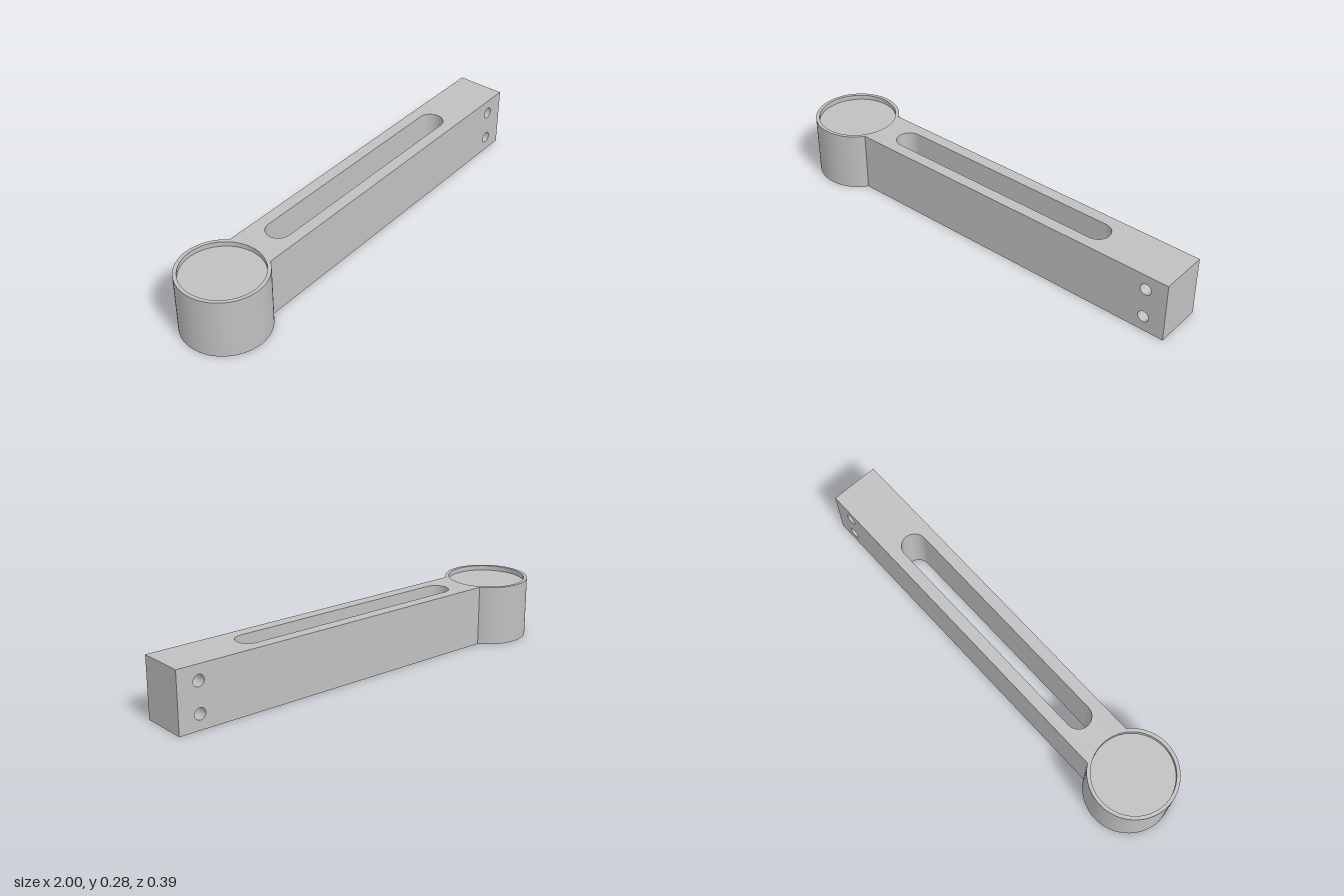
import * as THREE from 'three';

const H = 0.278;                      // overall height
const HW = 0.111;                     // half width of the arm
const R = 0.194, CX = -1 + R;         // round head
const RECESS_R = 0.178, RECESS_D = 0.022;
const BORE_R = 0.022, BORE_D = 0.14;
const SLOT_R = 0.0575, SLOT_A = -0.473, SLOT_B = 0.583; // slot end centres
const PIN_R = 0.026, PIN_X = 0.9, PIN_Y = [0.07, 0.209];
const ANGLE = Math.asin(HW / R);      // where the arm meets the head
const JOIN_X = CX + R * Math.cos(ANGLE);

export function createModel() {
  const model = new THREE.Group();
  const grey = new THREE.MeshStandardMaterial({ color: 0xc0c0c0 });
  grey.name = 'light grey';

  const add = (name, geometry, x = 0, y = 0, z = 0) => {
    const mesh = new THREE.Mesh(geometry, grey);
    mesh.name = name;
    mesh.position.set(x, y, z);
    model.add(mesh);
    return mesh;
  };

  // Surface turned from one straight line: upward faces out, downward faces in
  const turned = (r0, y0, r1, y1, start = 0, length = Math.PI * 2) =>
    new THREE.LatheGeometry(
      [new THREE.Vector2(r0, y0), new THREE.Vector2(r1, y1)], 64, start, length);

  const circle = (x, y, r) => new THREE.Path().absarc(x, y, r, 0, Math.PI * 2, true);

  // Outline of head and arm with the slot and one round opening in the head
  const outline = (openingRadius) => {
    const shape = new THREE.Shape();
    shape.absarc(CX, 0, R, ANGLE, Math.PI * 2 - ANGLE, false);
    shape.lineTo(1, -HW);
    shape.lineTo(1, HW);
    shape.closePath();
    const slot = new THREE.Path();
    slot.absarc(SLOT_B, 0, SLOT_R, -Math.PI / 2, Math.PI / 2, false);
    slot.absarc(SLOT_A, 0, SLOT_R, Math.PI / 2, Math.PI * 1.5, false);
    slot.closePath();
    shape.holes.push(slot, circle(CX, 0, openingRadius));
    return new THREE.ShapeGeometry(shape, 40);
  };
  add('topFace', outline(RECESS_R).rotateX(-Math.PI / 2), 0, H);
  add('bottomFace', outline(BORE_R).rotateX(Math.PI / 2));

  // Round head: outer wall, shallow recess on top, blind bore below
  add('headWall', turned(R, 0, R, H, Math.PI / 2 + ANGLE, Math.PI * 2 - 2 * ANGLE), CX);
  add('recessWall', turned(RECESS_R, H, RECESS_R, H - RECESS_D), CX);
  add('recessFloor', turned(RECESS_R, H - RECESS_D, 0, H - RECESS_D), CX);
  add('boreWall', turned(BORE_R, BORE_D, BORE_R, 0), CX);
  add('boreEnd', turned(0, BORE_D, BORE_R, BORE_D), CX);

  // Arm sides with pin holes
  for (const s of [1, -1]) {
    const side = new THREE.Shape([
      new THREE.Vector2(s * JOIN_X, 0), new THREE.Vector2(s, 0),
      new THREE.Vector2(s, H), new THREE.Vector2(s * JOIN_X, H),
    ]);
    for (const y of PIN_Y) side.holes.push(circle(s * PIN_X, y, PIN_R));
    const geometry = new THREE.ShapeGeometry(side, 24);
    if (s < 0) geometry.rotateY(Math.PI);
    add(s > 0 ? 'armFront' : 'armBack', geometry, 0, 0, s * HW);
  }
  add('armEnd', new THREE.PlaneGeometry(2 * HW, H).rotateY(Math.PI / 2), 1, H / 2);

  // Pin holes through the arm
  for (const y of PIN_Y) {
    add('pinHole', turned(PIN_R, HW, PIN_R, -HW).rotateX(Math.PI / 2), PIN_X, y);
  }

  // Slot walls: two round ends and two flat sides
  add('slotEndLeft', turned(SLOT_R, H, SLOT_R, 0, 0, Math.PI), SLOT_B);
  add('slotEndRight', turned(SLOT_R, H, SLOT_R, 0, Math.PI, Math.PI), SLOT_A);
  for (const s of [1, -1]) {
    const flat = new THREE.PlaneGeometry(SLOT_B - SLOT_A, H);
    if (s > 0) flat.rotateY(Math.PI);
    add('slotSide', flat, (SLOT_A + SLOT_B) / 2, H / 2, s * SLOT_R);
  }

  return model;
}
